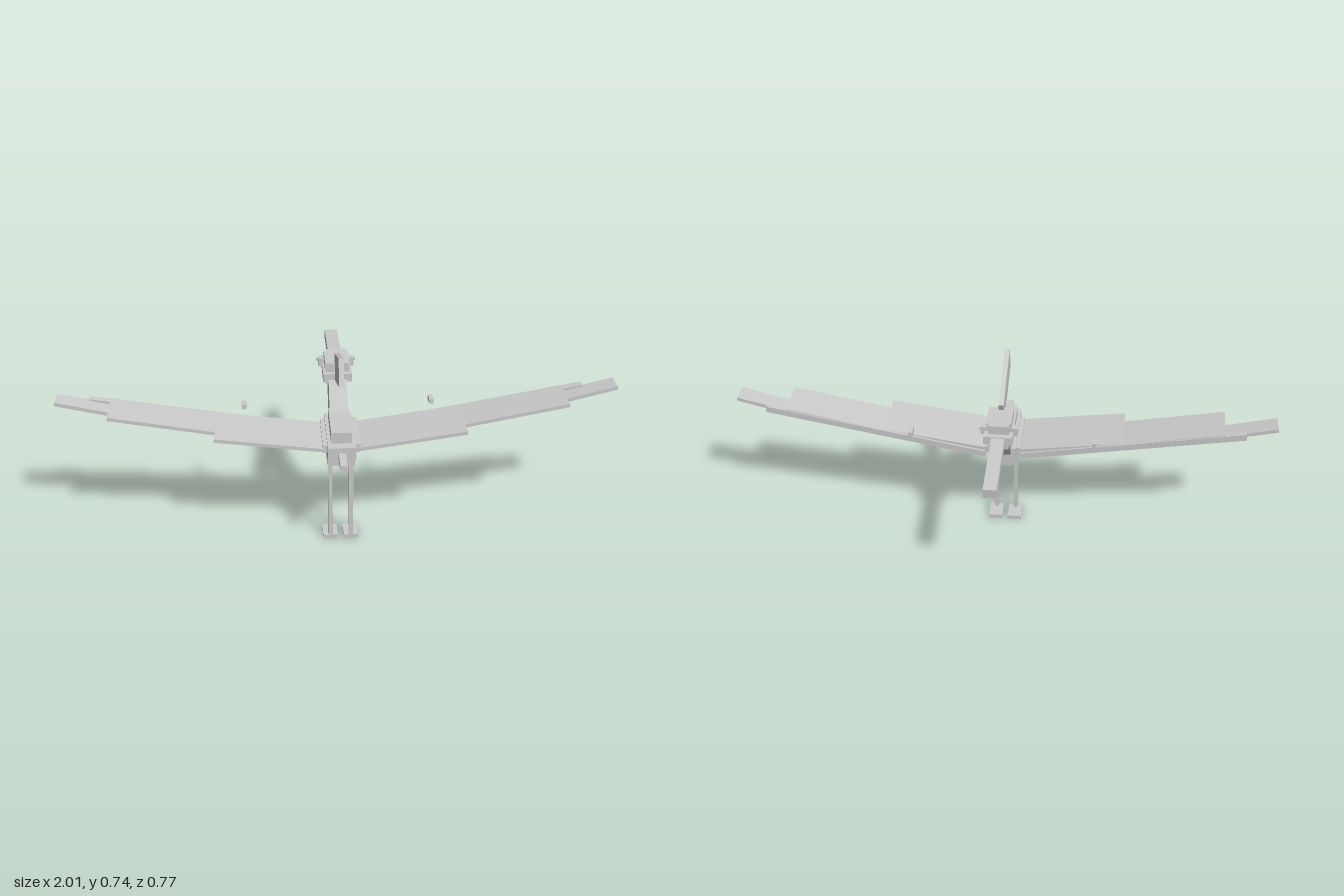
import * as THREE from 'three';

export function createModel() {
  const model = new THREE.Group();
  model.name = 'wingedReptile';
  const grey = new THREE.MeshStandardMaterial({ color: 0xcccccc, flatShading: true });
  grey.name = 'pale grey';

  const add = (name, size, pos, rot = [0, 0, 0], parent = model) => {
    const mesh = new THREE.Mesh(new THREE.BoxGeometry(...size), grey);
    mesh.name = name;
    mesh.position.set(...pos);
    mesh.rotation.set(...rot);
    parent.add(mesh);
    return mesh;
  };

  // Box given by half width and its y and z ranges, centred on x = 0
  const block = (name, halfX, y0, y1, z0, z1) =>
    add(name, [halfX * 2, y1 - y0, z1 - z0], [0, (y0 + y1) / 2, (z0 + z1) / 2]);

  // Sloping slab whose lower face runs from (x0, y0) to (x1, y1)
  const slab = (name, parent, x0, y0, x1, y1, thick, z0, z1) => {
    const angle = Math.atan2(y1 - y0, x1 - x0);
    const length = Math.hypot(x1 - x0, y1 - y0);
    const x = (x0 + x1) / 2 - Math.sin(angle) * thick / 2;
    const y = (y0 + y1) / 2 + Math.cos(angle) * thick / 2;
    add(name, [length, thick, z1 - z0], [x, y, (z0 + z1) / 2], [0, 0, angle], parent);
  };

  // Body and tail
  block('torso', 0.05, 0.383, 0.43, 0.04, 0.3);
  block('shoulderBlock', 0.066, 0.39, 0.42, 0.06, 0.26);
  block('back', 0.037, 0.43, 0.472, 0.08, 0.265);
  block('belly', 0.05, 0.338, 0.383, 0.075, 0.265);
  block('lowerBelly', 0.037, 0.325, 0.345, 0.077, 0.237);
  block('tail', 0.013, 0.388, 0.41, 0.29, 0.385);

  // Neck, head and crest
  add('neck', [0.066, 0.131, 0.097], [0, 0.49, 0.037], [-0.56, 0, 0]);
  block('skull', 0.037, 0.527, 0.625, -0.095, 0.007);
  block('skullCap', 0.044, 0.57, 0.625, -0.078, 0.025);
  block('headBand', 0.052, 0.559, 0.591, -0.115, 0.045);
  add('crest', [0.018, 0.1, 0.25], [0, 0.652, 0.132], [-0.382, 0, 0]);

  // Beak
  add('upperBeak', [0.048, 0.037, 0.3], [0, 0.5605, -0.233], [-0.069, 0, 0]);
  add('lowerBeak', [0.036, 0.016, 0.22], [0, 0.5375, -0.212], [-0.13, 0, 0]);

  // Wings, eyes and legs, turned half round the centre line for the other side
  for (const side of [1, -1]) {
    const label = side > 0 ? 'left' : 'right';

    // Wings are built on +x and mirrored by swapping x values
    const wing = new THREE.Group();
    wing.name = label + 'Wing';
    model.add(wing);
    const panel = (name, x0, y0, x1, y1, thick, z0, z1) => side > 0
      ? slab(name, wing, x0, y0, x1, y1, thick, z0, z1)
      : slab(name, wing, -x1, y1, -x0, y0, thick, z0, z1);
    panel('wingBone', 0.065, 0.37, 0.892, 0.517, 0.024, 0.06, 0.088);
    panel('innerMembrane', 0.06, 0.395, 0.447, 0.449, 0.013, 0.067, 0.265);
    panel('middleMembrane', 0.39, 0.438, 0.817, 0.519, 0.013, 0.065, 0.213);
    panel('wingTip', 0.78, 0.494, 1.003, 0.549, 0.014, 0.077, 0.148);
    add('wingClaw', [0.016, 0.018, 0.04], [side * 0.341, 0.478, 0.044], [0, 0, 0], wing);

    // Eyes
    add(label + 'Eye', [0.02, 0.031, 0.028], [side * 0.055, 0.591, -0.064]);
    add(label + 'Pupil', [0.008, 0.01, 0.012], [side * 0.066, 0.597, -0.07]);

    // Legs
    add(label + 'Leg', [0.016, 0.335, 0.02], [side * 0.0375, 0.1725, 0.215]);
    add(label + 'Foot', [0.053, 0.015, 0.074], [side * 0.0375, 0.0075, 0.185]);
  }

  return model;
}
